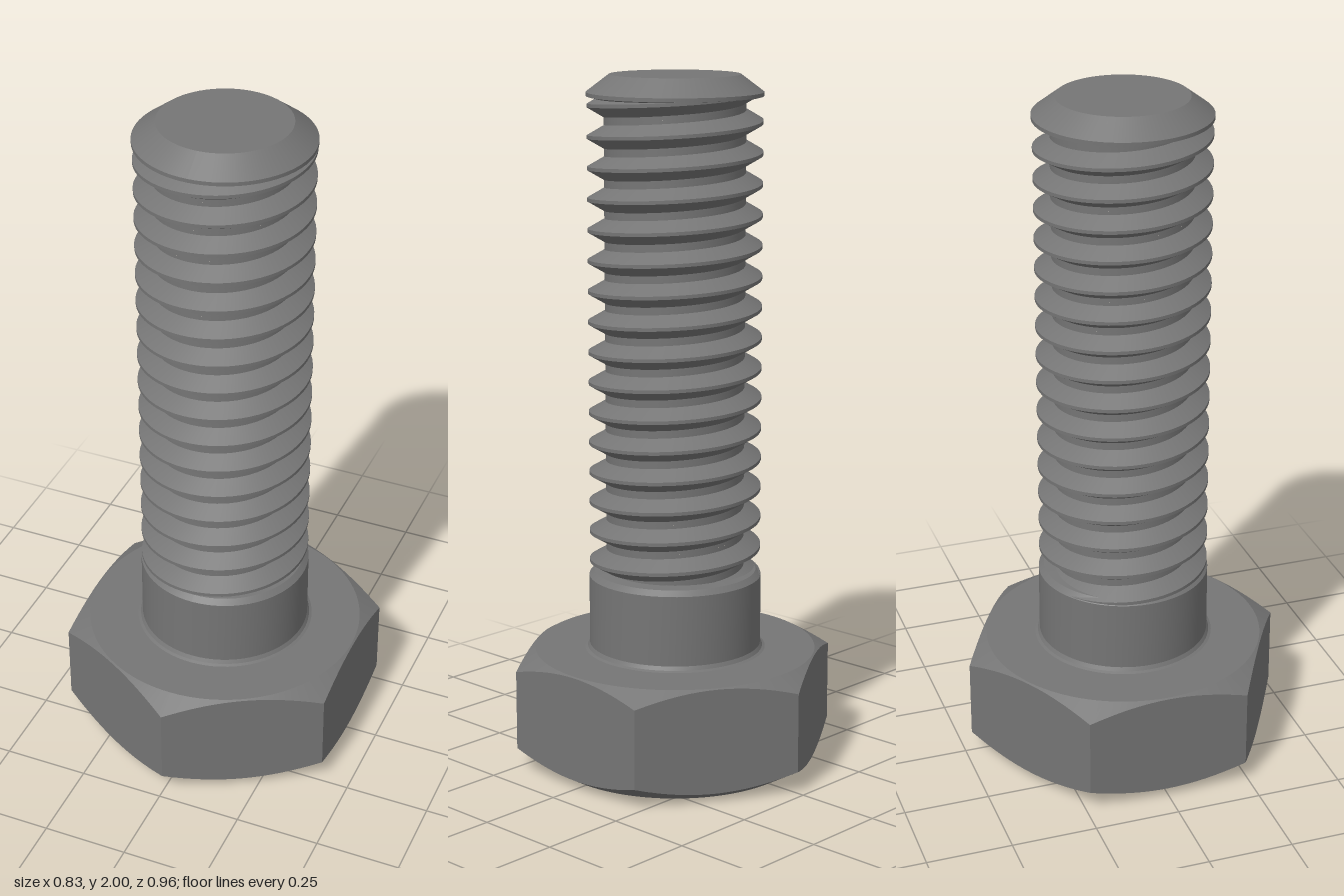
import * as THREE from 'three';
import { mergeGeometries } from 'three/addons/utils/BufferGeometryUtils.js';

const TAU = Math.PI * 2;

// Sweep a profile of [radius, y] points around the y axis. profileAt(angle) may
// vary with the angle; each profile segment is its own band, so its edges stay sharp.
function sweep(profileAt, start, end, steps) {
  const bands = [];
  const count = profileAt(start).length - 1;
  for (let s = 0; s < count; s++) {
    const positions = [], index = [];
    for (let i = 0; i <= steps; i++) {
      const t = start + (end - start) * i / steps;
      const profile = profileAt(t);
      for (const [r, y] of [profile[s], profile[s + 1]]) {
        positions.push(r * Math.sin(t), y, r * Math.cos(t));
      }
      if (i < steps) {
        const a = i * 2;
        index.push(a, a + 2, a + 3, a, a + 3, a + 1);
      }
    }
    const band = new THREE.BufferGeometry();
    band.setAttribute('position', new THREE.Float32BufferAttribute(positions, 3));
    band.setIndex(index);
    band.computeVertexNormals();
    bands.push(band);
  }
  return mergeGeometries(bands);
}

// Hexagonal head: corners on the z axis, conical chamfers at both ends
function headGeometry() {
  const flat = 0.415, top = 0.335, low = 0.37, high = 0.41, slope = 0.577;
  const sectors = [];
  for (let k = 0; k < 6; k++) {
    const middle = (k + 0.5) * TAU / 6;
    sectors.push(sweep((t) => {
      const r = flat / Math.cos(t - middle);
      return [[0, 0], [low, 0], [r, (r - low) * slope],
        [r, top - (r - high) * slope], [high, top], [0, top]];
    }, k * TAU / 6, (k + 1) * TAU / 6, 16));
  }
  return mergeGeometries(sectors);
}

// Right-handed thread: a V profile climbing along a helix, its ends hidden in shank and tip
function threadGeometry() {
  const pitch = 0.0876, root = 0.2, crest = 0.248, top = 1.95;
  const heightAt = (t) => 1.88 + pitch * (t + Math.PI / 2) / TAU;
  const angleAt = (y) => (y - 1.88) / pitch * TAU - Math.PI / 2;
  const start = angleAt(0.5), end = angleAt(top + pitch);
  const steps = Math.round((end - start) / TAU * 64);
  return sweep((t) => {
    const y = heightAt(t);
    return [[root, -pitch / 2], [root, -0.033], [crest, -0.005],
      [crest, 0.005], [root, 0.033], [root, pitch / 2]]
      .map(([r, dy]) => [r, Math.min(y + dy, top)]);
  }, start, end, steps);
}

export function createModel() {
  const steel = new THREE.MeshStandardMaterial({ color: 0x757575 });
  steel.name = 'dark steel';
  const model = new THREE.Group();
  model.name = 'hexBolt';
  const add = (name, geometry) => {
    const mesh = new THREE.Mesh(geometry, steel);
    mesh.name = name;
    model.add(mesh);
  };
  const round = (profile) => sweep(() => profile, 0, TAU, 72);

  add('head', headGeometry());
  // Plain shank with a small fillet at the head and a bevel into the thread
  add('shank', round([[0.266, 0.334], [0.256, 0.339], [0.25, 0.35],
    [0.25, 0.555], [0.235, 0.57], [0.19, 0.575]]));
  add('thread', threadGeometry());
  // Chamfered tip
  add('tip', round([[0.19, 1.925], [0.25, 1.94], [0.25, 1.951], [0.185, 2], [0, 2]]));
  return model;
}
